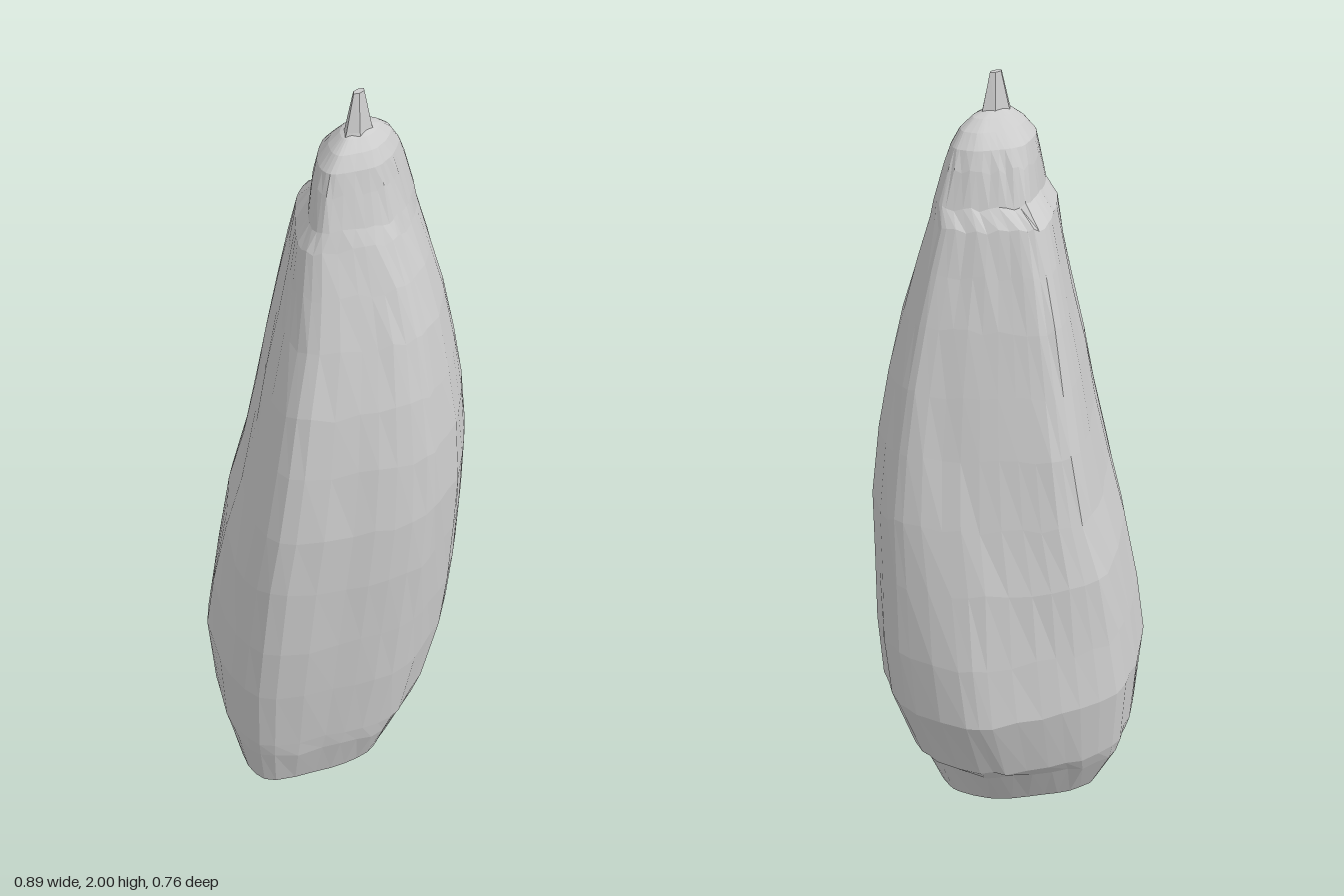
import * as THREE from 'three';

// Plan outlines (x, z) from the back round by +x to the front: rounded foot, three-sided shaft
const FOOT = [
  [0, -.38], [.12, -.355], [.22, -.31], [.34, -.24], [.39, -.19], [.44, -.04], [.445, .03],
  [.4, .13], [.35, .21], [.2, .3], [.1, .35], [-.02, .372], [-.1, .38], [-.2, .34],
  [-.3, .27], [-.425, .165], [-.448, .07], [-.4, -.06], [-.3, -.2], [-.2, -.28], [-.1, -.34],
];
const SHAFT = [
  [.1, -.38], [.16, -.355], [.23, -.285], [.31, -.2], [.38, -.11], [.44, -.02], [.445, .04],
  [.41, .13], [.35, .21], [.2, .3], [.1, .35], [-.02, .372], [-.1, .38], [-.2, .34],
  [-.3, .27], [-.425, .165], [-.448, .08], [-.4, -.015], [-.28, -.13], [-.15, -.235], [-.02, -.33],
];

// Each level: y, min x, max x, min z, max z, and the share of the shaft outline
const LEVELS = [
  [0, -.402, .27, -.265, .245, .5], [.13, -.427, .325, -.335, .297, .3],
  [.18, -.435, .37, -.352, .315, .15], [.38, -.448, .445, -.378, .345, 0],
  [.55, -.441, .446, -.362, .362, .15], [.75, -.425, .43, -.347, .376, .5],
  [.92, -.402, .41, -.312, .38, .8], [1.1, -.365, .373, -.277, .37, 1],
  [1.26, -.327, .332, -.238, .346, 1], [1.42, -.273, .285, -.197, .31, 1],
  [1.55, -.237, .242, -.155, .268, 1], [1.66, -.21, .207, -.118, .227, 1],
  [1.705, -.185, .188, -.06, .21, .8], [1.79, -.16, .155, -.035, .188, .5],
  [1.84, -.143, .133, -.015, .176, .3], [1.875, -.112, .1, .022, .158, 0],
  [1.9, -.075, .06, .05, .135, 0], [1.91, -.05, .02, .075, .12, 0],
];

const COLUMNS = FOOT.length * 2;

// Repeatable value in -1..1 for chipping the surface
function chip(a, b) {
  const s = Math.sin(a * 127.1 + b * 311.7) * 43758.5453;
  return (s - Math.floor(s)) * 2 - 1;
}

// Move a list of values linearly so that it spans lo..hi
function span(values, lo, hi) {
  const min = Math.min(...values), max = Math.max(...values);
  return values.map((v) => lo + (v - min) / (max - min) * (hi - lo));
}

// Triangles between stacked rings, closed at both ends
function loft(rings) {
  const pos = [];
  const tri = (a, b, c) => pos.push(...a, ...b, ...c);
  const n = rings[0].length;
  const centre = (ring) => [0, 1, 2].map((k) => ring.reduce((s, p) => s + p[k], 0) / n);
  const last = rings[rings.length - 1];
  const bottom = centre(rings[0]);
  const top = centre(last);
  for (let i = 0; i < n; i++) {
    const k = (i + 1) % n;
    for (let j = 0; j < rings.length - 1; j++) {
      const lo = rings[j], hi = rings[j + 1];
      tri(lo[i], hi[i], hi[k]);
      tri(lo[i], hi[k], lo[k]);
    }
    tri(bottom, rings[0][i], rings[0][k]);
    tri(top, last[k], last[i]);
  }
  const geometry = new THREE.BufferGeometry();
  geometry.setAttribute('position', new THREE.Float32BufferAttribute(pos, 3));
  geometry.computeVertexNormals();
  return geometry;
}

export function createModel() {
  const group = new THREE.Group();
  group.name = 'standingRock';
  const stone = new THREE.MeshStandardMaterial({ color: 0xcccccc });
  stone.name = 'grey stone';

  // Tall body: blended outlines fitted to every level, with vertical ridges and small chips
  const rings = LEVELS.map(([y, x0, x1, z0, z1, share], j) => {
    const corners = FOOT.map(([x, z], i) => new THREE.Vector3(x, 0, z)
      .lerp(new THREE.Vector3(SHAFT[i][0], 0, SHAFT[i][1]), share));
    const plan = new THREE.CatmullRomCurve3(corners, true).getPoints(COLUMNS).slice(0, COLUMNS);
    const points = plan.map((p, i) => p.multiplyScalar(1 + 0.006 * chip(i, 1) + 0.004 * chip(i, j + 5)));
    const xs = span(points.map((p) => p.x), x0, x1);
    const zs = span(points.map((p) => p.z), z0, z1);
    const rough = j === 0 || j > 13 ? 0 : 0.008;
    return xs.map((x, i) => [x, y + rough * chip(i + 60, j), zs[i]]);
  });
  const body = new THREE.Mesh(loft(rings), stone);
  body.name = 'rockBody';
  group.add(body);

  // Small pointed spire on the crown
  const spireLevels = [[1.88, .062, .034], [1.91, .047, .026], [2, .02, .01]];
  const spireRings = spireLevels.map(([y, rx, rz]) => Array.from({ length: 6 }, (_, i) => {
    const a = i * Math.PI / 3;
    return [-.02 + rx * Math.cos(a), y, .1 + rz * Math.sin(a)];
  }));
  const spire = new THREE.Mesh(loft(spireRings), stone);
  spire.name = 'spire';
  group.add(spire);

  return group;
}
